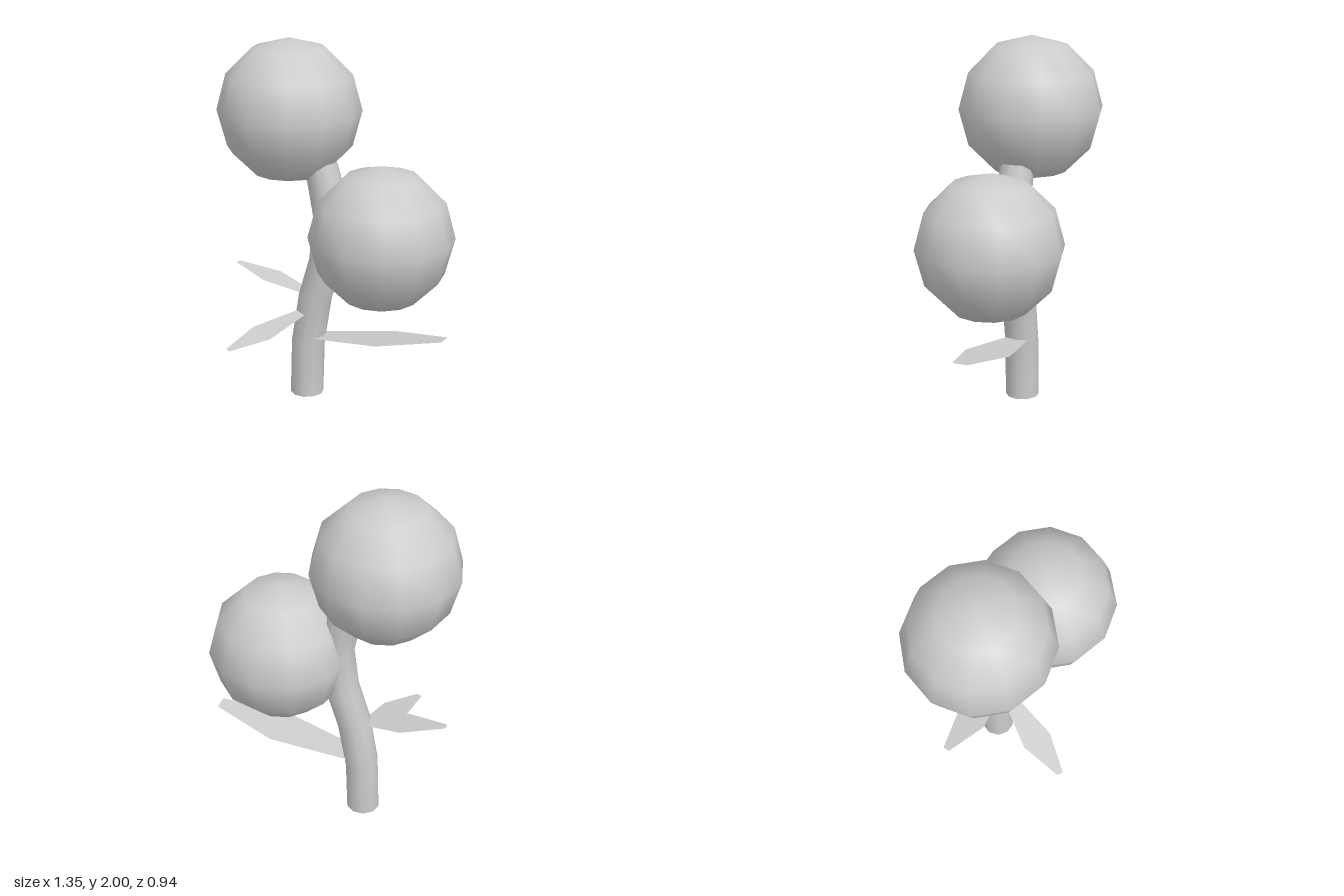
import * as THREE from 'three';

const V = (x, y, z) => new THREE.Vector3(x, y, z);
const grey = new THREE.MeshStandardMaterial({ color: 0xcccccc });
const leafMaterial = new THREE.MeshStandardMaterial({
  color: 0xcccccc, side: THREE.DoubleSide, flatShading: true,
});
const CENTRE_Z = -0.08;

// Ten-sided stem: a cylinder whose rings are moved along a bent path
function createStem() {
  const path = [
    [-0.182, 0], [-0.172, 0.31], [-0.125, 0.585], [-0.058, 0.8],
    [-0.028, 1.05], [-0.07, 1.27], [-0.15, 1.48],
  ].map(([x, y]) => V(x, y, CENTRE_Z));
  const last = path.length - 1;
  const geometry = new THREE.CylinderGeometry(0.092, 0.092, last, 10, last, false, Math.PI / 2);
  const { position, normal } = geometry.attributes;
  const zAxis = V(0, 0, 1);
  const p = V(), n = V();
  for (let i = 0; i < position.count; i++) {
    p.fromBufferAttribute(position, i);
    n.fromBufferAttribute(normal, i);
    const ring = Math.round(p.y + last / 2);
    const along = path[Math.min(ring + 1, last)].clone().sub(path[Math.max(ring - 1, 0)]);
    const tilt = ring === 0 ? 0 : Math.atan2(-along.x, along.y);
    p.setY(0).applyAxisAngle(zAxis, tilt).add(path[ring]);
    n.applyAxisAngle(zAxis, tilt);
    position.setXYZ(i, p.x, p.y, p.z);
    normal.setXYZ(i, n.x, n.y, n.z);
  }
  const mesh = new THREE.Mesh(geometry, grey);
  mesh.name = 'stem';
  return mesh;
}

// Round bloom
function createBloom(name, x, y) {
  const mesh = new THREE.Mesh(new THREE.SphereGeometry(0.39, 12, 6), grey);
  mesh.name = name;
  mesh.position.set(x, y, CENTRE_Z);
  return mesh;
}

// Flat six-cornered leaf from three cross lines: base, middle, tip
function createLeaf(name, centres, widths, side) {
  const points = centres.flatMap((c, i) => [-0.5, 0.5].map(
    (s) => c.clone().addScaledVector(side, s * widths[i])));
  const geometry = new THREE.BufferGeometry().setFromPoints(points);
  geometry.setIndex([0, 1, 3, 0, 3, 2, 2, 3, 5, 2, 5, 4]);
  geometry.computeVertexNormals();
  const mesh = new THREE.Mesh(geometry, leafMaterial);
  mesh.name = name;
  return mesh;
}

export function createModel() {
  const group = new THREE.Group();
  group.name = 'plant';
  group.add(
    createStem(),
    createBloom('upperBloom', -0.285, 1.61),
    createBloom('lowerBloom', 0.285, 0.99),
    createLeaf('frontLeaf',
      [V(-0.165, 0.505, 0.01), V(-0.258, 0.452, 0.255), V(-0.333, 0.412, 0.465)],
      [0.075, 0.17, 0.035], V(0.91, -0.09, 0.41).normalize()),
    createLeaf('leftLeaf',
      [V(-0.1, 0.355, CENTRE_Z), V(0.32, 0.425, CENTRE_Z), V(0.67, 0.495, CENTRE_Z)],
      [0.13, 0.25, 0.08], V(0, 0, -1)),
    createLeaf('rightLeaf',
      [V(-0.19, 0.6, CENTRE_Z), V(-0.41, 0.647, CENTRE_Z), V(-0.64, 0.69, CENTRE_Z)],
      [0.075, 0.17, 0.035], V(0, 0, 1)),
  );
  return group;
}
